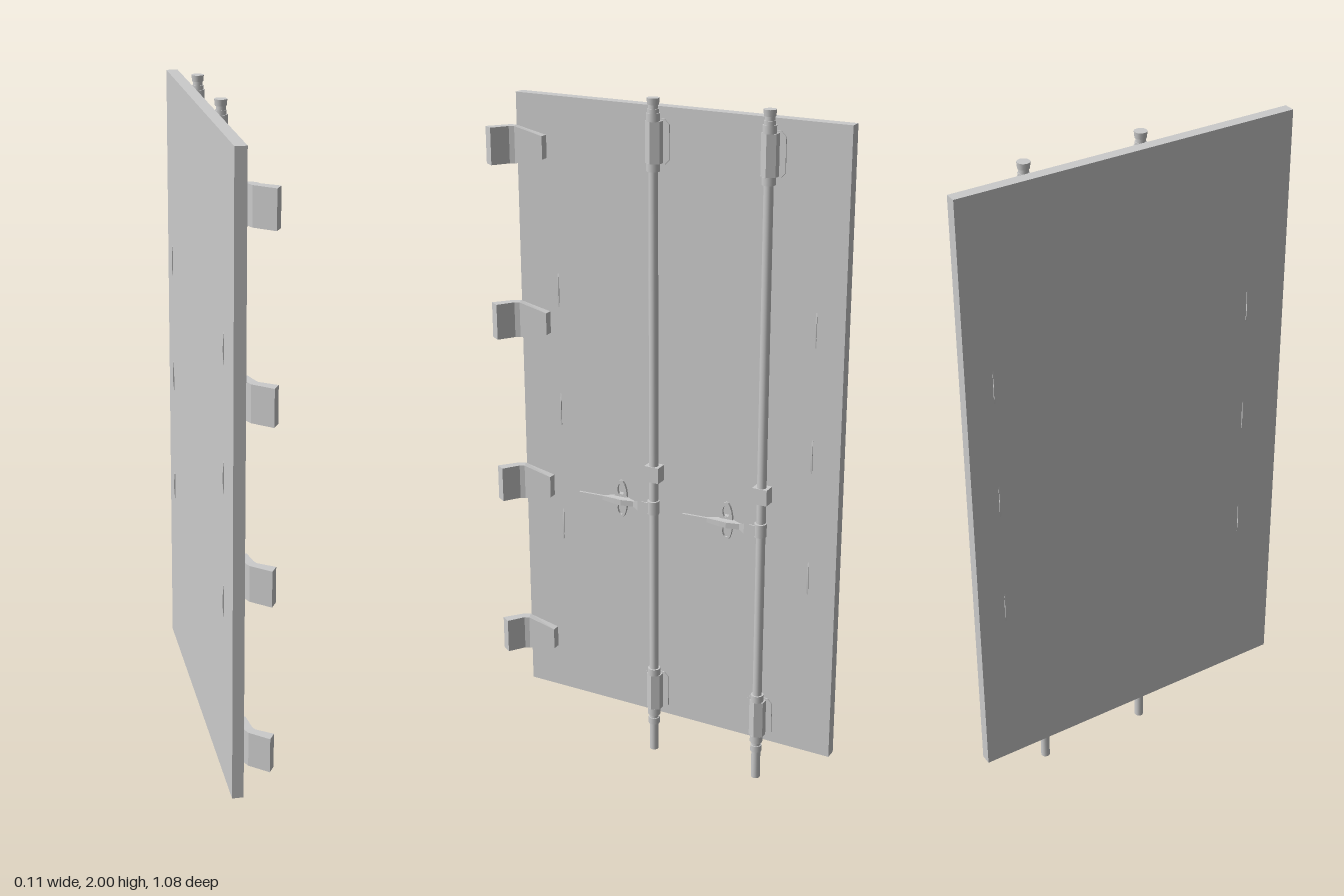
import * as THREE from 'three';

const mat = new THREE.MeshStandardMaterial({ color: 0xcccccc, side: THREE.DoubleSide });

function add(parent, name, geo, x = 0, y = 0, z = 0) {
  const m = new THREE.Mesh(geo, mat);
  m.name = name;
  m.position.set(x, y, z);
  parent.add(m);
  return m;
}

// Prism from an [x, z] outline, centred vertically; scaleY(z) tapers its height
function planPrism(pts, height, scaleY) {
  const shape = new THREE.Shape(pts.map(([x, z]) => new THREE.Vector2(x, -z)));
  const geo = new THREE.ExtrudeGeometry(shape, { depth: height, bevelEnabled: false });
  geo.rotateX(-Math.PI / 2).translate(0, -height / 2, 0);
  if (scaleY) {
    const p = geo.attributes.position;
    for (let i = 0; i < p.count; i++) p.setY(i, p.getY(i) * scaleY(p.getZ(i)));
    geo.computeVertexNormals();
  }
  return geo;
}

// Upright plate in the z-y plane, extruded along x from 0
function sidePlate(shape, depth) {
  return new THREE.ExtrudeGeometry(shape, { depth, bevelEnabled: false, curveSegments: 10 }).rotateY(Math.PI / 2);
}

function hinge() {
  const outline = [[-0.024, 0.38], [0.0, 0.38], [0.0, 0.47], [0.006, 0.484],
    [0.052, 0.516], [0.036, 0.542], [-0.016, 0.498], [-0.024, 0.48]];
  return planPrism(outline, 0.106, z => (z < 0.4 ? 0.62 : 1));
}

function bearing() {
  const g = new THREE.Group();
  g.name = 'rodBearing';
  // Chamfered base plate
  const w = 0.04, h = 0.062, c = 0.014;
  const s = new THREE.Shape([[-w, -h + c], [-w + c, -h], [w - c, -h], [w, -h + c],
    [w, h - c], [w - c, h], [-w + c, h], [-w, h - c]].map(p => new THREE.Vector2(...p)));
  add(g, 'basePlate', sidePlate(s, 0.005), -0.021);
  // Saddle wrapped round the rod
  add(g, 'saddle', planPrism([[-0.02, -0.022], [0.006, -0.022], [0.02, 0], [0.006, 0.022], [-0.02, 0.022]], 0.115));
  for (const y of [-0.068, 0.068]) add(g, 'sleeve', new THREE.CylinderGeometry(0.019, 0.019, 0.022, 12), 0, y);
  return g;
}

function handle() {
  const g = new THREE.Group();
  g.name = 'handle';
  // Lever: flat link, wide grip middle, thin tail
  const lever = [[0.008, 0], [0.018, 0], [0.018, 0.045], [0.013, 0.062], [0.022, 0.1], [0.02, 0.122],
    [0.015, 0.165], [0.015, 0.245], [0.008, 0.245], [0.008, 0.165], [-0.012, 0.125], [-0.012, 0.1], [0.008, 0.06]];
  add(g, 'lever', planPrism(lever, 0.026, z => (z > 0.2 ? 0.3 : z > 0.15 ? 0.5 : z > 0.05 ? 0.65 : 1.2)));
  add(g, 'collar', new THREE.CylinderGeometry(0.018, 0.018, 0.04, 12), 0.003);
  // Catch with a slot above and below the lever
  const s = new THREE.Shape();
  s.absellipse(0, 0, 0.021, 0.06, 0, Math.PI * 2);
  for (const k of [-1, 1]) {
    const hole = new THREE.Path();
    hole.absellipse(0, k * 0.03, 0.011, 0.019, 0, Math.PI * 2);
    s.holes.push(hole);
  }
  add(g, 'catchLoop', sidePlate(s, 0.008), -0.01, 0, 0.112);
  add(g, 'catchMount', new THREE.BoxGeometry(0.018, 0.03, 0.026), -0.013, 0, 0.112);
  return g;
}

function lockRod() {
  const g = new THREE.Group();
  g.name = 'lockRod';
  add(g, 'rod', new THREE.CylinderGeometry(0.0135, 0.0135, 1.99, 16), 0, 0.995);
  add(g, 'topCam', new THREE.CylinderGeometry(0.018, 0.016, 0.018, 12), 0, 1.991);
  add(g, 'topCollar', new THREE.CylinderGeometry(0.016, 0.016, 0.012, 12), 0, 1.965);
  add(g, 'bottomCollar', new THREE.CylinderGeometry(0.017, 0.017, 0.02, 12), 0, 0.1);
  for (const y of [0.2, 1.88]) {
    const b = bearing();
    b.position.y = y;
    g.add(b);
  }
  // Guide bracket above the handle
  add(g, 'guideBracket', new THREE.BoxGeometry(0.036, 0.048, 0.046), -0.002, 0.915);
  const h = handle();
  h.position.y = 0.81;
  g.add(h);
  return g;
}

export function createModel() {
  const root = new THREE.Group();
  root.name = 'containerDoor';

  add(root, 'doorPanel', new THREE.BoxGeometry(0.033, 1.855, 1.018), -0.0405, 1.0475, -0.0325);

  for (const y of [0.29, 0.802, 1.315, 1.83]) add(root, 'hinge', hinge(), 0, y);

  for (const z of [0.028, -0.317]) {
    const r = lockRod();
    r.position.set(-0.004, 0, z);
    root.add(r);
  }

  // Slim curved lashing strips showing on both faces
  const arc = new THREE.Shape();
  arc.moveTo(0, -0.05);
  arc.quadraticCurveTo(0.008, 0, 0, 0.05);
  const strip = new THREE.ExtrudeGeometry(arc, { depth: 0.004, bevelEnabled: false }).translate(0, 0, -0.002);
  for (const z of [0.35, -0.458]) for (const y of [0.68, 1.05, 1.415]) {
    add(root, 'lashingStrip', strip, -0.024, y, z);
    add(root, 'lashingStrip', strip, -0.057, y, z).rotation.y = Math.PI;
  }
  return root;
}
